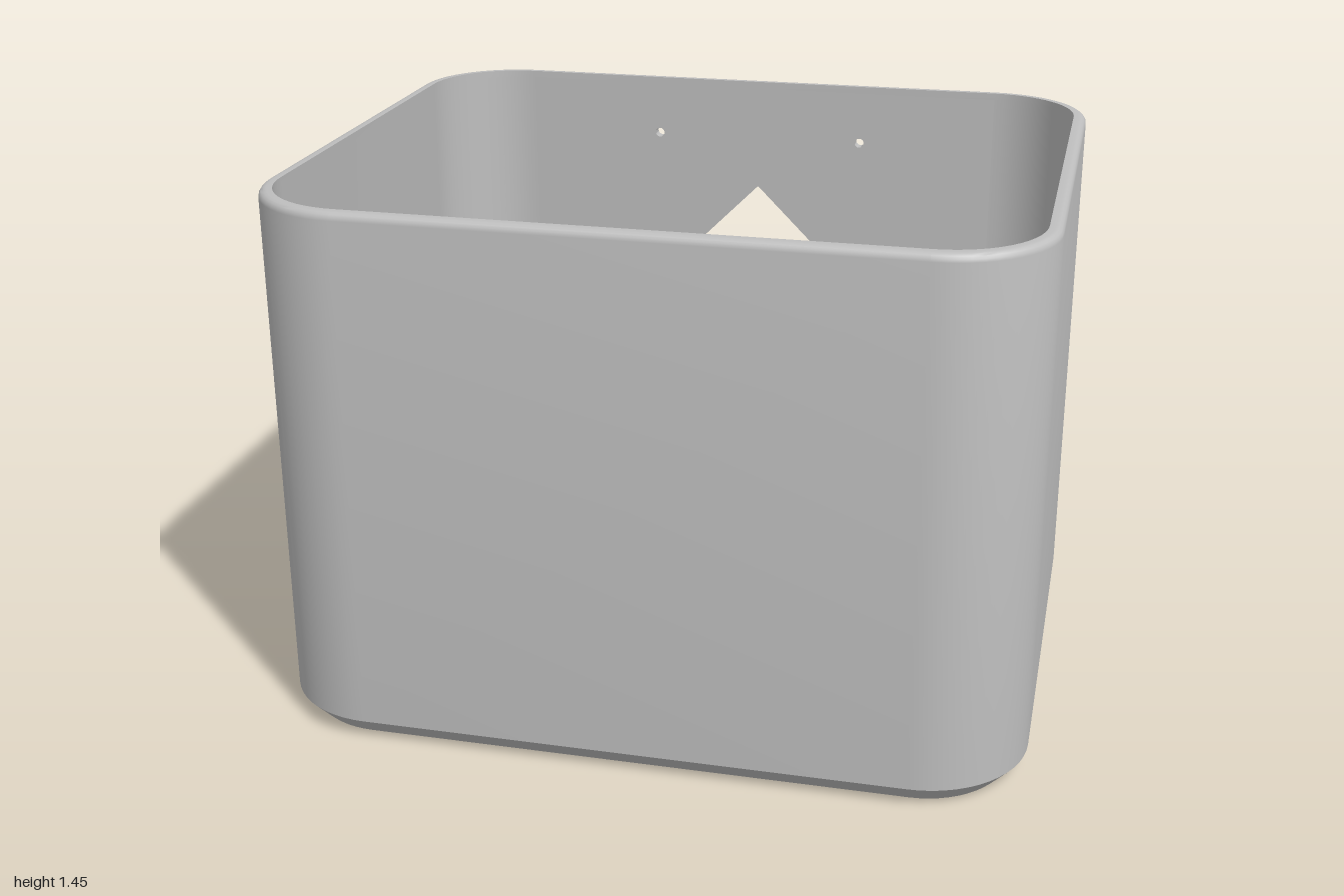
import * as THREE from 'three';
import { toCreasedNormals } from 'three/addons/utils/BufferGeometryUtils.js';

const HX = 1, HZ = 0.84, H = 1.45;          // half width, half depth, height
const R = 0.28, WALL = 0.035, FLOOR = 0.055; // corner radius, wall and floor thickness
const CHAMFER = 0.05, FILLET = 0.02, STEPS = 14;
const SHOULDER = H - FILLET;

// Rounded rectangle outline, inset from the outer wall
function outline(inset) {
  const points = [];
  [[1, 1], [-1, 1], [-1, -1], [1, -1]].forEach(([sx, sz], k) => {
    for (let i = 0; i <= STEPS; i++) {
      const t = (k + i / STEPS) * Math.PI / 2;
      points.push(new THREE.Vector2(
        sx * (HX - R) + (R - inset) * Math.cos(t),
        sz * (HZ - R) + (R - inset) * Math.sin(t)));
    }
  });
  return points;
}

// Wall section swept round the outline, leaving the flat of the back open
function wallGeometry() {
  const profile = [[CHAMFER, 0], [0, FLOOR], [0, SHOULDER]];
  for (let i = 1; i <= 4; i++) {
    const t = i / 4 * Math.PI / 2;
    profile.push([FILLET * (1 - Math.cos(t)), SHOULDER + FILLET * Math.sin(t)]);
  }
  profile.push([WALL, H], [WALL, SHOULDER], [WALL, FLOOR], [CHAMFER, FLOOR]);

  const rings = profile.map(([inset, y]) =>
    outline(inset).map(p => [p.x, y, p.y]));
  const n = rings[0].length, backFlat = 3 * (STEPS + 1) - 1;
  const positions = [];
  for (let j = 0; j < rings.length - 1; j++) {
    const upright = profile[j][0] === profile[j + 1][0] &&
      Math.max(profile[j][1], profile[j + 1][1]) <= SHOULDER;
    for (let i = 0; i < n; i++) {
      if (upright && i === backFlat) continue;
      const k = (i + 1) % n;
      const a = rings[j][i], b = rings[j][k], c = rings[j + 1][k], d = rings[j + 1][i];
      positions.push(...a, ...d, ...b, ...b, ...d, ...c);
    }
  }
  const g = new THREE.BufferGeometry();
  g.setAttribute('position', new THREE.Float32BufferAttribute(positions, 3));
  return toCreasedNormals(g, 0.5);
}

function roundHole(x, y, r) {
  const hole = new THREE.Path();
  hole.absarc(x, y, r, 0, Math.PI * 2, true);
  return hole;
}

function extrude(shape, depth) {
  const g = new THREE.ExtrudeGeometry(shape, { depth, bevelEnabled: false, curveSegments: 24 });
  return toCreasedNormals(g, 0.5);
}

// Flat of the back wall with a pointed, round-bottomed opening and two screw holes
function backGeometry() {
  const w = HX - R;
  const shape = new THREE.Shape();
  shape.moveTo(-w, FLOOR);
  shape.lineTo(w, FLOOR);
  shape.lineTo(w, SHOULDER);
  shape.lineTo(-w, SHOULDER);
  shape.closePath();

  const opening = new THREE.Path();
  opening.moveTo(0.2, 0.92);
  opening.lineTo(0, 1.12);
  opening.lineTo(-0.2, 0.92);
  opening.lineTo(-0.2, 0.26);
  opening.absarc(0, 0.26, 0.2, Math.PI, Math.PI * 2, false);
  opening.closePath();
  shape.holes.push(opening);
  for (const s of [-1, 1]) shape.holes.push(roundHole(s * 0.315, 1.275, 0.014));
  return extrude(shape, WALL).translate(0, 0, -HZ);
}

// Floor slab with four drilled holes
function floorGeometry() {
  const shape = new THREE.Shape(outline(CHAMFER));
  for (const [x, z] of [[0.505, -0.575], [0.505, 0.125], [-0.49, -0.205], [-0.49, 0.35]])
    shape.holes.push(roundHole(x, -z, 0.024));
  return extrude(shape, FLOOR).rotateX(-Math.PI / 2);
}

export function createModel() {
  const model = new THREE.Group();
  model.name = 'openBox';
  const grey = new THREE.MeshStandardMaterial({ color: 0xbebebe });
  grey.name = 'grey';
  const add = (name, geometry) => {
    const mesh = new THREE.Mesh(geometry, grey);
    mesh.name = name;
    model.add(mesh);
    return mesh;
  };

  add('walls', wallGeometry());
  add('backPanel', backGeometry());
  add('floor', floorGeometry());

  // Small tabs on the inside of the front wall, the middle one higher
  for (const [x, y] of [[-0.31, 0.45], [0, 0.67], [0.305, 0.45]])
    add('innerTab', new THREE.BoxGeometry(0.105, 0.1, 0.06)).position.set(x, y, 0.785);

  return model;
}
